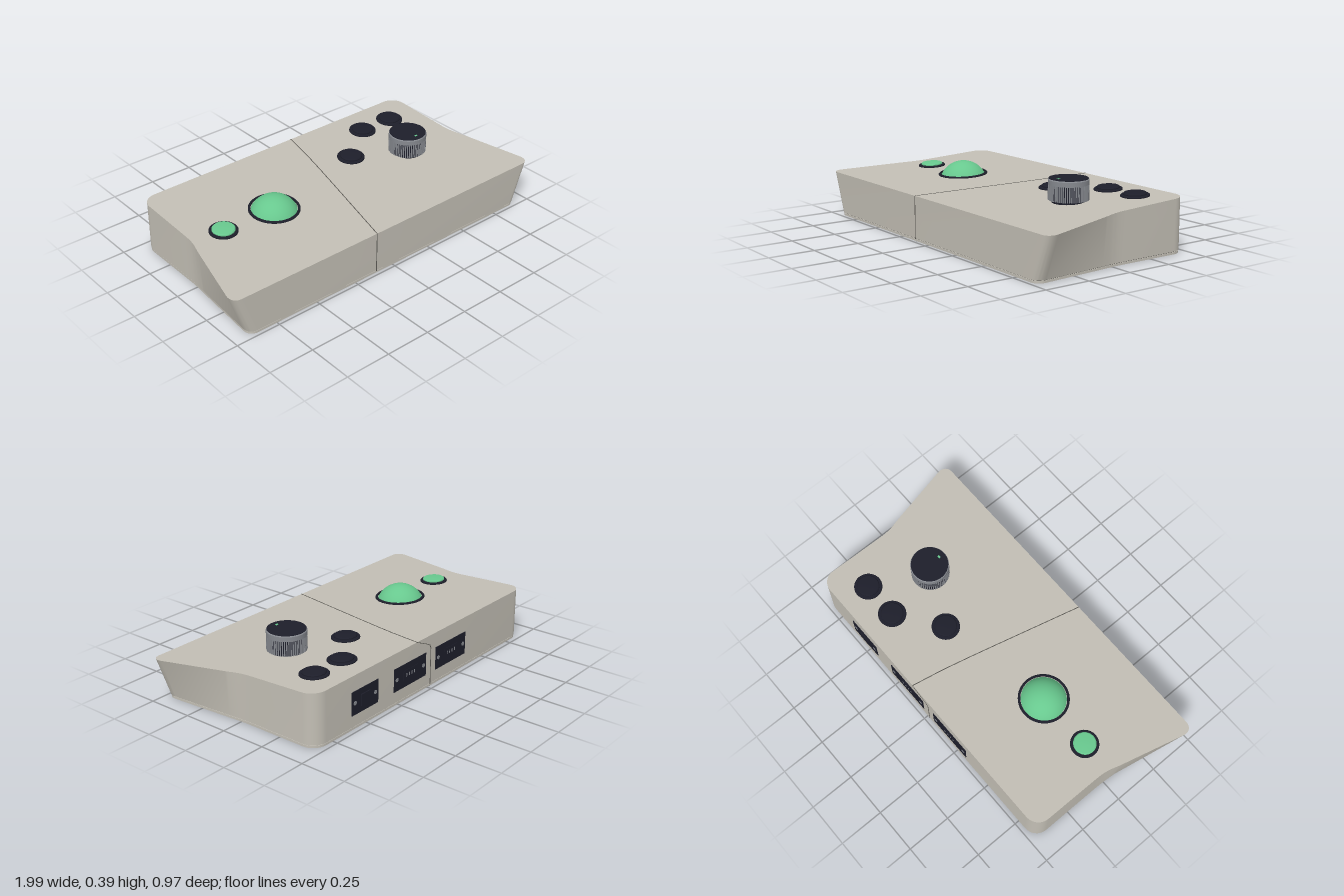
import * as THREE from 'three';
import { toCreasedNormals } from 'three/addons/utils/BufferGeometryUtils.js';

const mat = (name, color) => {
  const m = new THREE.MeshStandardMaterial({ color });
  m.name = name;
  return m;
};

const BACK = -0.477, FRONT = 0.485, SLOPE = 0.0485;
const topY = (z) => 0.239 + (FRONT - z) * SLOPE;

// Case outline in x/z; flare is how far the front corners spread beyond the back
function outline(flare) {
  const w = 0.88, e = w + flare;
  const s = new THREE.Shape();
  s.moveTo(-0.8, BACK);
  s.lineTo(0.8, BACK);
  s.bezierCurveTo(0.845, BACK, w, -0.442, w, -0.4);
  s.lineTo(w, -0.08);
  s.bezierCurveTo(w, 0, w + flare * 0.11, 0.02, w + flare * 0.22, 0.07);
  s.lineTo(e - flare * 0.04, 0.425);
  s.bezierCurveTo(e + 0.003, 0.46, e - 0.015, FRONT, e - 0.05, FRONT);
  s.lineTo(-e + 0.05, FRONT);
  s.bezierCurveTo(-e + 0.015, FRONT, -e - 0.003, 0.46, -e + flare * 0.04, 0.425);
  s.lineTo(-w - flare * 0.22, 0.07);
  s.bezierCurveTo(-w - flare * 0.11, 0.02, -w, 0, -w, -0.08);
  s.lineTo(-w, -0.4);
  s.bezierCurveTo(-w, -0.442, -0.845, BACK, -0.8, BACK);
  const pts = s.getPoints(10);
  if (pts[0].distanceTo(pts[pts.length - 1]) < 1e-5) pts.pop();
  return pts;
}

// Closed solid between stacked outlines: levels are { flare, inset, y(z) }
function loft(levels) {
  const pos = [], idx = [];
  const loops = levels.map((l) => outline(l.flare));
  const n = loops[0].length;
  loops.forEach((loop, j) => loop.forEach((p) => {
    const { inset = 0, y } = levels[j];
    pos.push(p.x * (1 - inset), y(p.y), p.y * (1 - 2 * inset));
  }));
  for (let j = 0; j < loops.length - 1; j++) {
    for (let i = 0; i < n; i++) {
      const a = j * n + i, b = j * n + (i + 1) % n;
      idx.push(a, a + n, b, b, a + n, b + n);
    }
  }
  const last = (loops.length - 1) * n;
  for (const [a, b, c] of THREE.ShapeUtils.triangulateShape(loops[0], [])) idx.push(a, b, c);
  for (const [a, b, c] of THREE.ShapeUtils.triangulateShape(loops[loops.length - 1], [])) {
    idx.push(last + a, last + c, last + b);
  }
  const g = new THREE.BufferGeometry();
  g.setAttribute('position', new THREE.Float32BufferAttribute(pos, 3));
  g.setIndex(idx);
  return toCreasedNormals(g, 0.6);
}

const lathe = (pts, seg = 48) =>
  toCreasedNormals(new THREE.LatheGeometry(pts.map((p) => new THREE.Vector2(...p)), seg), 0.6);

export function createModel() {
  const model = new THREE.Group();
  model.name = 'controlBox';
  const shell = mat('warm grey shell', 0xc2beb4);
  const dark = mat('dark navy plastic', 0x1d1e2a);
  const green = mat('green', 0x68c88e);
  const metal = mat('grey metal', 0x85888e);
  const seamMat = mat('seam shadow', 0x5c5a55);

  const add = (parent, name, geo, material, x = 0, y = 0, z = 0) => {
    const m = new THREE.Mesh(geo, material);
    m.name = name;
    m.position.set(x, y, z);
    parent.add(m);
    return m;
  };
  // Group sitting on the sloping top
  const onTop = (name, x, z) => {
    const g = new THREE.Group();
    g.name = name;
    g.position.set(x, topY(z), z);
    g.rotation.x = Math.atan(SLOPE);
    model.add(g);
    return g;
  };

  // Case: base plate, groove, flared shell
  const flat = (y) => () => y;
  add(model, 'basePlate', loft([
    { flare: 0.035, inset: 0.002, y: flat(0) }, { flare: 0.035, inset: 0.002, y: flat(0.012) }]), shell);
  add(model, 'baseGroove', loft([
    { flare: 0.035, inset: 0.005, y: flat(0.006) }, { flare: 0.035, inset: 0.005, y: flat(0.02) }]), seamMat);
  add(model, 'shell', loft([
    { flare: 0.036, y: flat(0.015) }, { flare: 0.12, y: topY }]), shell);

  // Parting seam around the whole case
  const seam = new THREE.Group();
  seam.name = 'seam';
  model.add(seam);
  const run = (pts) => {
    for (let i = 0; i < pts.length - 1; i++) {
      const a = new THREE.Vector3(...pts[i]), b = new THREE.Vector3(...pts[i + 1]);
      const bar = add(seam, 'seamBar', new THREE.BoxGeometry(0.004, 0.003, a.distanceTo(b)), seamMat);
      bar.position.copy(a).lerp(b, 0.5);
      bar.lookAt(b);
    }
  };
  run([[0.1, BACK], [0.086, -0.4], [0.068, -0.3], [0.035, -0.15], [0, 0], [-0.115, FRONT]]
    .map(([x, z]) => [x, topY(z), z]));
  run([[-0.115, topY(FRONT), FRONT], [-0.115, 0.012, FRONT]]);
  run([[0.1, topY(BACK), BACK], [0.02, 0.25, BACK], [-0.01, 0.235, BACK], [-0.02, 0.215, BACK], [-0.02, 0.012, BACK]]);
  run([[-0.02, 0, -0.474], [-0.005, 0, -0.44], [0.075, 0, -0.3], [-0.115, 0, 0.482]]);

  // Screws under the base
  for (const [x, z] of [[0.81, -0.375], [0.815, 0.395], [-0.81, -0.375], [-0.815, 0.395],
    [0.155, -0.34], [-0.045, -0.335], [0, 0.325], [-0.133, 0.32]]) {
    add(model, 'baseScrew', new THREE.CylinderGeometry(0.015, 0.015, 0.004, 20), seamMat, x, 0.001, z);
  }

  // Push buttons: bevelled rim and domed cap
  const rimGeo = lathe([[0.075, -0.004], [0.075, 0.005], [0.071, 0.009], [0.059, 0.009], [0.059, 0]]);
  const capGeo = lathe([[0.06, 0], [0.06, 0.014], [0.055, 0.019], [0.03, 0.021], [0, 0.022]]);
  const button = (name, x, z, capMat) => {
    const g = onTop(name, x, z);
    add(g, 'rim', rimGeo, dark);
    add(g, 'cap', capGeo, capMat);
  };
  button('greenButton', -0.705, 0, green);
  button('innerButton', 0.247, -0.135, dark);
  button('backButton', 0.483, -0.308, dark);
  button('outerButton', 0.688, -0.308, dark);

  // Trackball in its socket ring
  const ball = onTop('trackball', -0.387, 0);
  add(ball, 'ring', lathe([[0.135, -0.004], [0.135, 0.004], [0.131, 0.008], [0.122, 0.008], [0.122, -0.002]], 64), dark);
  add(ball, 'ball', new THREE.SphereGeometry(0.135, 48, 32), green, 0, -0.062, 0);

  // Ribbed upright knob
  const knob = new THREE.Group();
  knob.name = 'knob';
  knob.position.set(0.54, 0, 0);
  model.add(knob);
  add(knob, 'shaft', new THREE.CylinderGeometry(0.085, 0.085, 0.03, 40), dark, 0, 0.265, 0);
  add(knob, 'core', new THREE.CylinderGeometry(0.099, 0.099, 0.08, 64), dark, 0, 0.312, 0);
  add(knob, 'upperBand', lathe([[0.09, 0.35], [0.103, 0.35], [0.103, 0.374], [0.098, 0.38], [0, 0.38]], 64), metal);
  add(knob, 'topDisc', new THREE.CylinderGeometry(0.099, 0.099, 0.003, 64), dark, 0, 0.38, 0);
  add(knob, 'pointer', new THREE.BoxGeometry(0.016, 0.004, 0.01), green, 0, 0.3815, 0.065);
  const ribGeo = new THREE.BoxGeometry(0.0055, 0.08, 0.008);
  for (let i = 0; i < 60; i++) {
    const a = (i / 60) * Math.PI * 2;
    add(knob, 'rib', ribGeo, metal, Math.sin(a) * 0.099, 0.312, Math.cos(a) * 0.099).rotation.y = a;
  }

  // Rear panels with end screws
  const panel = (name, x, w) => {
    const g = new THREE.Group();
    g.name = name;
    g.position.set(x, 0.14, BACK);
    model.add(g);
    add(g, 'plate', new THREE.BoxGeometry(w, 0.125, 0.006), dark);
    for (const s of [-1, 1]) {
      add(g, 'panelScrew', new THREE.CylinderGeometry(0.011, 0.011, 0.003, 16), metal,
        s * (w / 2 - 0.022), 0, -0.0035).rotation.x = Math.PI / 2;
    }
    return g;
  };
  const power = panel('switchPanel', 0.515, 0.2);
  add(power, 'rocker', new THREE.BoxGeometry(0.07, 0.062, 0.014), dark, 0, 0, -0.002);
  for (const x of [0.155, -0.195]) {
    const port = panel('portPanel', x, 0.265);
    add(port, 'socket', new THREE.BoxGeometry(0.12, 0.055, 0.003), dark, 0, 0, -0.003);
    for (let i = 0; i < 4; i++) {
      add(port, 'pin', new THREE.BoxGeometry(0.007, 0.018, 0.002), metal, (i - 1.5) * 0.022, 0, -0.0045);
    }
  }
  return model;
}
